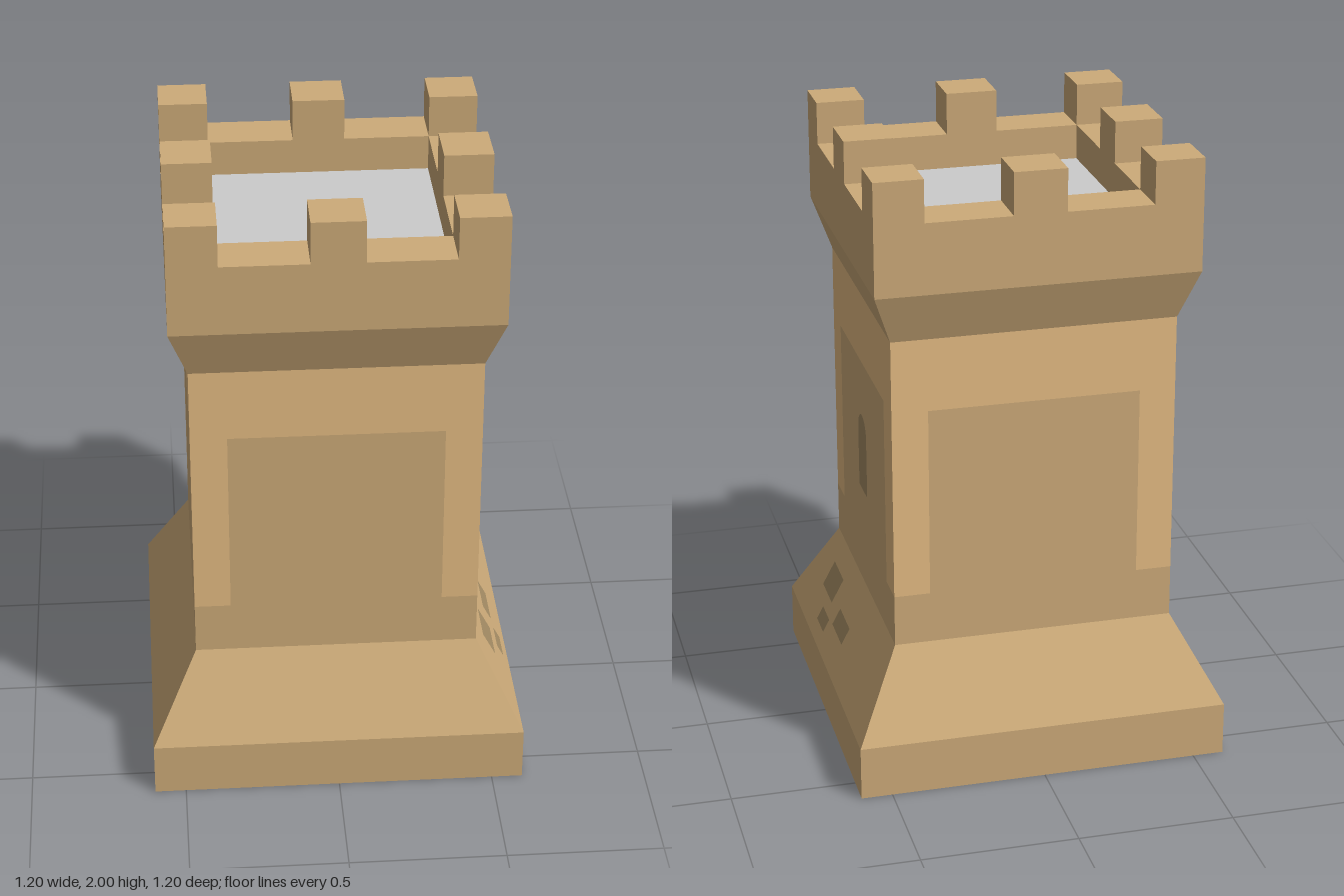
import * as THREE from 'three';

const paint = (color) => new THREE.MeshStandardMaterial({ color, flatShading: true });
const stone = paint(0xcdab79);
const paleStone = paint(0xe5bc83);
const darkStone = paint(0xa48c64);
const grey = paint(0xcccccc);

const BASE = 0.6, BODY = 0.453, TOP = 0.511, INNER = 0.356; // half widths
const SLOPE_LOW = 0.175, SLOPE_HIGH = 0.452;
const BAND = 0.62, BODY_TOP = 1.475, WALL_TOP = 1.864, FLOOR = 1.75;

function add(parent, name, geometry, material) {
  const mesh = new THREE.Mesh(geometry, material);
  mesh.name = name;
  parent.add(mesh);
  return mesh;
}

// Square stack from [half width, height] steps
function squareLathe(steps) {
  const points = steps.map(([w, y]) => new THREE.Vector2(w * Math.SQRT2, y));
  return new THREE.LatheGeometry(points, 4, Math.PI / 4);
}

function flat(corners) {
  return new THREE.ShapeGeometry(new THREE.Shape(corners.map(([x, y]) => new THREE.Vector2(x, y))));
}

export function createModel() {
  const tower = new THREE.Group();
  tower.name = 'tower';

  // Plinth with sloping skirt, and the plain lower band of the shaft
  add(tower, 'base', squareLathe([[0, 0], [BASE, 0], [BASE, SLOPE_LOW], [BODY, SLOPE_HIGH]]), stone);
  add(tower, 'lowerBand', squareLathe([[BODY, SLOPE_HIGH], [BODY, BAND]]), stone);

  // Four shaft walls: a panel framed by paler stone
  const px = 0.338, py = 1.24;
  const panel = flat([[-px, BAND], [px, BAND], [px, py], [-px, py]]);
  const frame = flat([
    [-BODY, BAND], [-px, BAND], [-px, py], [px, py],
    [px, BAND], [BODY, BAND], [BODY, BODY_TOP], [-BODY, BODY_TOP],
  ]);
  for (let i = 0; i < 4; i++) {
    const wall = new THREE.Group();
    wall.name = 'wall';
    wall.rotation.y = i * Math.PI / 2;
    tower.add(wall);
    add(wall, 'wallPanel', panel, stone).position.z = BODY;
    add(wall, 'wallFrame', frame, paleStone).position.z = BODY;
  }

  // Arched window on the +x wall
  const r = 0.062, arch = new THREE.Shape();
  arch.moveTo(-r, 0.79);
  arch.lineTo(r, 0.79);
  arch.lineTo(r, 0.993);
  arch.absarc(0, 0.993, r, 0, Math.PI, false);
  const window = add(tower, 'window', new THREE.ShapeGeometry(arch, 10), darkStone);
  window.rotation.y = Math.PI / 2;
  window.position.x = BODY + 0.002;

  // Dark bricks lying on the +x skirt: centre z, centre y, width, height
  const run = BASE - BODY, rise = SLOPE_HIGH - SLOPE_LOW;
  const tilt = Math.atan2(run, rise);
  for (const [z, y, w, h] of [[0.26, 0.342, 0.15, 0.08], [0.013, 0.297, 0.154, 0.054], [0.185, 0.244, 0.106, 0.042]]) {
    const brick = add(tower, 'brick', new THREE.PlaneGeometry(w, h / Math.cos(tilt)), darkStone);
    brick.rotation.set(-tilt, Math.PI / 2, 0, 'YXZ');
    brick.position.set(BASE - run * (y - SLOPE_LOW) / rise + 0.003, y + 0.001, z);
  }

  // Flared parapet with hollow inside, and the roof floor
  add(tower, 'parapet', squareLathe([
    [BODY, BODY_TOP], [TOP, 1.638], [TOP, WALL_TOP], [INNER, WALL_TOP], [INNER, FLOOR],
  ]), stone);
  const floor = add(tower, 'roofFloor', new THREE.PlaneGeometry(INNER * 2, INNER * 2), grey);
  floor.rotation.x = -Math.PI / 2;
  floor.position.y = FLOOR;

  // Merlons at the corners and the middle of each side
  const thick = TOP - INNER, mid = (TOP + INNER) / 2, tall = 2 - WALL_TOP;
  for (const i of [-1, 0, 1]) {
    for (const k of [-1, 0, 1]) {
      if (i === 0 && k === 0) continue;
      const box = new THREE.BoxGeometry(i ? thick : 0.166, tall, k ? thick : 0.166);
      add(tower, 'merlon', box, stone).position.set(i * mid, WALL_TOP + tall / 2, k * mid);
    }
  }
  return tower;
}
